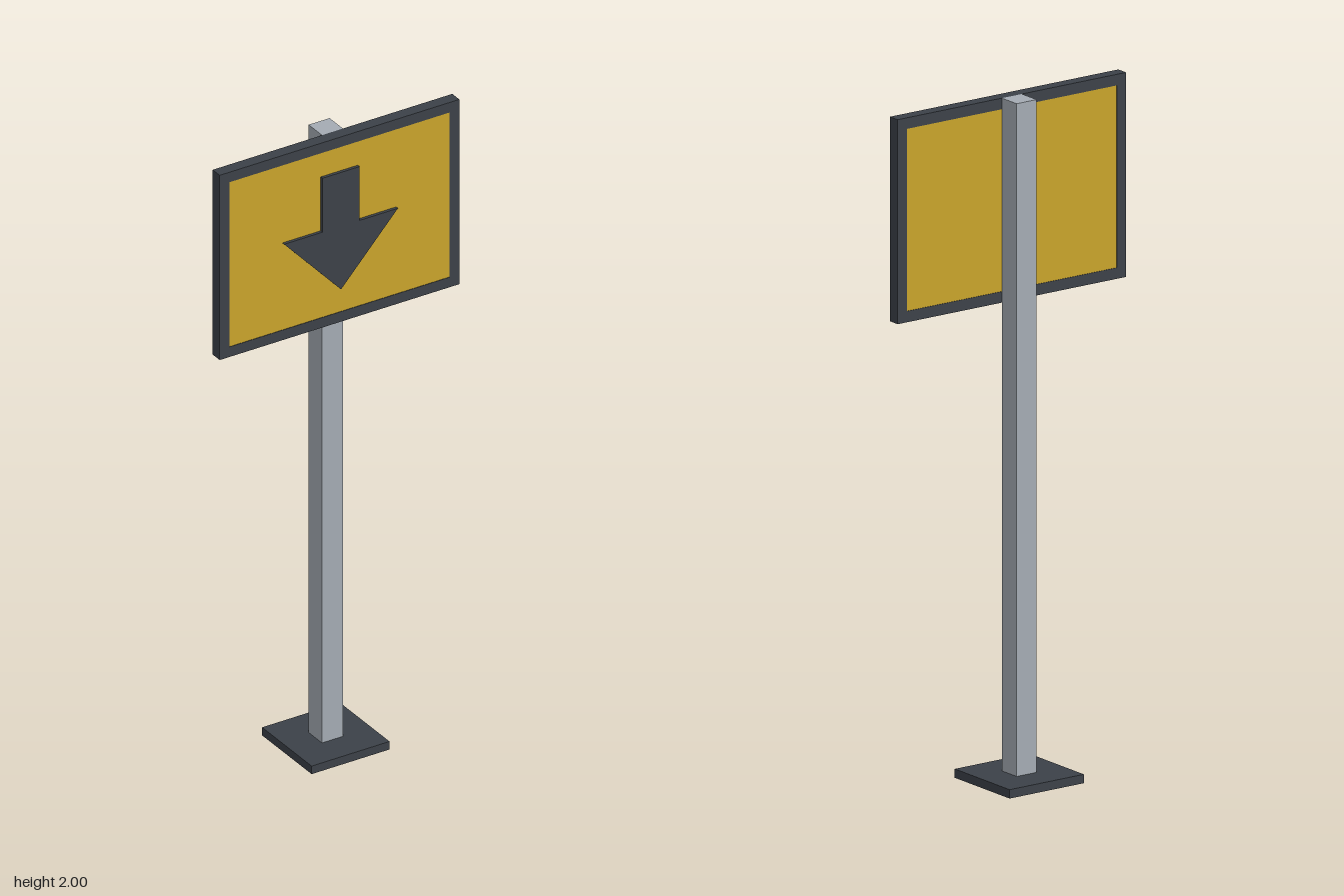
import * as THREE from 'three';

const material = (name, color) => {
  const m = new THREE.MeshStandardMaterial({ color });
  m.name = name;
  return m;
};

export function createModel() {
  const group = new THREE.Group();
  group.name = 'signPost';
  const dark = material('charcoal', 0x3c4148);
  const yellow = material('signal yellow', 0xc9a42b);
  const steel = material('steel grey', 0xa4abb3);

  const add = (name, geometry, mat, x = 0, y = 0, z = 0) => {
    const mesh = new THREE.Mesh(geometry, mat);
    mesh.name = name;
    mesh.position.set(x, y, z);
    group.add(mesh);
  };
  const extrude = (shape, depth) =>
    new THREE.ExtrudeGeometry(shape, { depth, bevelEnabled: false });
  const polygon = (Type, points) => new Type(points.map(([x, y]) => new THREE.Vector2(x, y)));
  const rect = (w, h) => [[-w / 2, -h / 2], [w / 2, -h / 2], [w / 2, h / 2], [-w / 2, h / 2]];

  // Foot plate and square post
  add('basePlate', new THREE.BoxGeometry(0.26, 0.026, 0.26), dark, 0, 0.013, 0);
  add('post', new THREE.BoxGeometry(0.07, 1.974, 0.07), steel, 0, 1.013, 0);

  // Open frame around the board
  const frame = polygon(THREE.Shape, rect(0.8, 0.6));
  frame.holes.push(polygon(THREE.Path, rect(0.735, 0.535)));
  add('signFrame', extrude(frame, 0.037), dark, 0, 1.7, 0.035);

  // Yellow board, visible from both sides
  add('signPanel', new THREE.BoxGeometry(0.735, 0.535, 0.034), yellow, 0, 1.7, 0.0535);

  // Raised downward arrow
  const arrow = polygon(THREE.Shape, [
    [0, 1.51], [0.19, 1.715], [0.062, 1.715], [0.062, 1.89],
    [-0.062, 1.89], [-0.062, 1.715], [-0.19, 1.715],
  ]);
  add('arrow', extrude(arrow, 0.0095), dark, 0, 0, 0.0705);

  return group;
}
